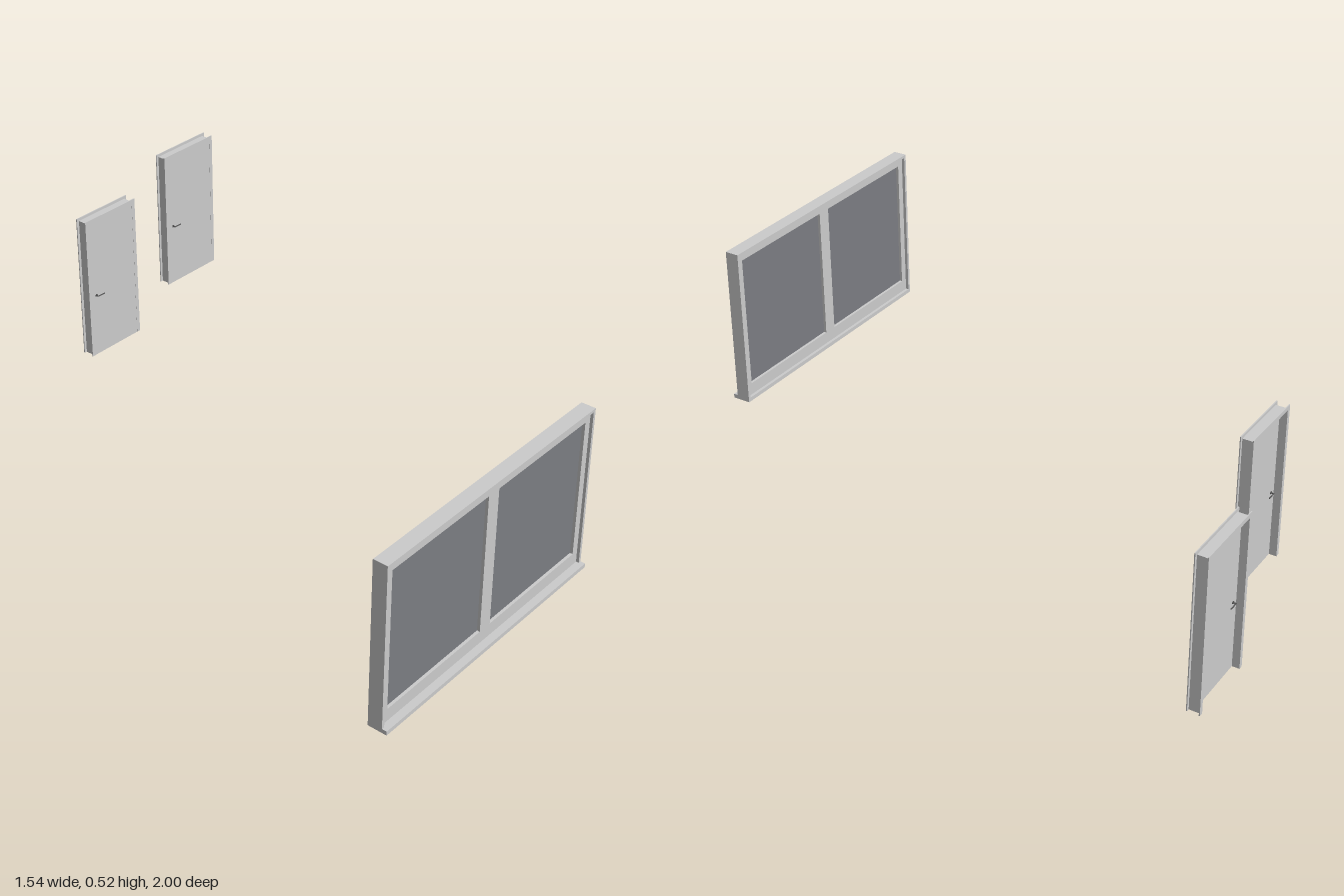
import * as THREE from 'three';

const grey = new THREE.MeshStandardMaterial({ color: 0xcccccc });
const glass = new THREE.MeshStandardMaterial({ color: 0x7b7d82 });
const metal = new THREE.MeshStandardMaterial({ color: 0x555555 });

// Box given by its extents
function box(parent, name, [x0, x1], [y0, y1], [z0, z1], material = grey) {
  const mesh = new THREE.Mesh(new THREE.BoxGeometry(x1 - x0, y1 - y0, z1 - z0), material);
  mesh.position.set((x0 + x1) / 2, (y0 + y1) / 2, (z0 + z1) / 2);
  mesh.name = name;
  parent.add(mesh);
  return mesh;
}

// Extruded outline between two depths
function extrude(parent, name, shape, [z0, z1]) {
  const mesh = new THREE.Mesh(new THREE.ExtrudeGeometry(shape, { depth: z1 - z0, bevelEnabled: false }), grey);
  mesh.position.z = z0;
  mesh.name = name;
  parent.add(mesh);
}

const corners = (x0, x1, y0, y1) =>
  [[x0, y0], [x1, y0], [x1, y1], [x0, y1]].map(([x, y]) => new THREE.Vector2(x, y));

// Closed rectangular frame
function frame(parent, name, [x0, x1], [y0, y1], w, z) {
  const shape = new THREE.Shape(corners(x0, x1, y0, y1));
  shape.holes.push(new THREE.Path(corners(x0 + w, x1 - w, y0 + w, y1 - w)));
  extrude(parent, name, shape, z);
}

// Frame open at the floor: two uprights and a head
function portal(parent, name, [x0, x1], [y0, y1], w, z) {
  const shape = new THREE.Shape([
    [x0, y0], [x0 + w, y0], [x0 + w, y1 - w], [x1 - w, y1 - w],
    [x1 - w, y0], [x1, y0], [x1, y1], [x0, y1],
  ].map(([x, y]) => new THREE.Vector2(x, y)));
  extrude(parent, name, shape, z);
}

function makeWindow() {
  const g = new THREE.Group();
  g.name = 'window';
  const left = -0.772, right = 0.129, mid = -0.3215;
  frame(g, 'outerFrame', [left, right], [0.004, 0.521], 0.009, [0.94, 0.985]);
  box(g, 'sill', [left, right], [0, 0.013], [0.94, 1]);

  // Two sashes with their panes
  for (const [x0, x1] of [[left + 0.009, mid], [mid, right - 0.009]]) {
    const sash = new THREE.Group();
    sash.name = 'sash';
    const outline = new THREE.Shape(corners(x0, x1, 0.013, 0.512));
    const px = [x0 + 0.0225, x1 - 0.0225], py = [0.052, 0.487];
    outline.holes.push(new THREE.Path(corners(...px, ...py)));
    extrude(sash, 'sashFrame', outline, [0.95, 0.976]);
    box(sash, 'pane', px, py, [0.959, 0.967], glass);
    g.add(sash);
  }
  return g;
}

// Lever handle; dir is the side it projects to
function makeHandle(x, y, z, dir) {
  const g = new THREE.Group();
  g.name = 'handle';
  const rod = (name, r, length) => {
    const m = new THREE.Mesh(new THREE.CylinderGeometry(r, r, length, 16), metal);
    m.name = name;
    m.rotation.x = Math.PI / 2;
    m.position.z = dir * length / 2;
    g.add(m);
  };
  rod('rosette', 0.0045, 0.0015);
  rod('spindle', 0.0018, 0.009);
  const lever = new THREE.Mesh(new THREE.CapsuleGeometry(0.0018, 0.027, 4, 10), metal);
  lever.name = 'lever';
  lever.rotation.z = Math.PI / 2;
  lever.position.set(0.0135, 0, dir * 0.009);
  g.add(lever);
  g.position.set(x, y, z);
  return g;
}

function makeDoor(name, x0, x1, top, z0, z1) {
  const g = new THREE.Group();
  g.name = name;
  const y0 = 0.016, plate = 0.003;
  // Jamb lining between two thin casings, leaving a channel for the wall
  portal(g, 'jamb', [x0 + 0.009, x1 - 0.009], [y0, top - 0.009], 0.004, [z0 + plate, z1 - plate]);
  portal(g, 'backCasing', [x0, x1], [y0, top], 0.013, [z0, z0 + plate]);
  portal(g, 'frontCasing', [x0, x1], [y0, top], 0.013, [z1 - plate, z1]);
  // Leaf close to the front, so the back has a deep reveal
  const front = z1 - 0.0005, back = z1 - 0.017;
  box(g, 'leaf', [x0 + 0.013, x1 - 0.013], [y0, top - 0.013], [back, front]);
  g.add(makeHandle(x0 + 0.032, 0.231, front, 1), makeHandle(x0 + 0.032, 0.231, back, -1));
  return g;
}

export function createModel() {
  const model = new THREE.Group();
  model.name = 'windowAndDoors';
  model.add(
    makeWindow(),
    makeDoor('narrowDoor', 0.026, 0.247, 0.504, -0.863, -0.823),
    makeDoor('wideDoor', 0.534, 0.769, 0.497, -1, -0.961),
  );
  return model;
}
